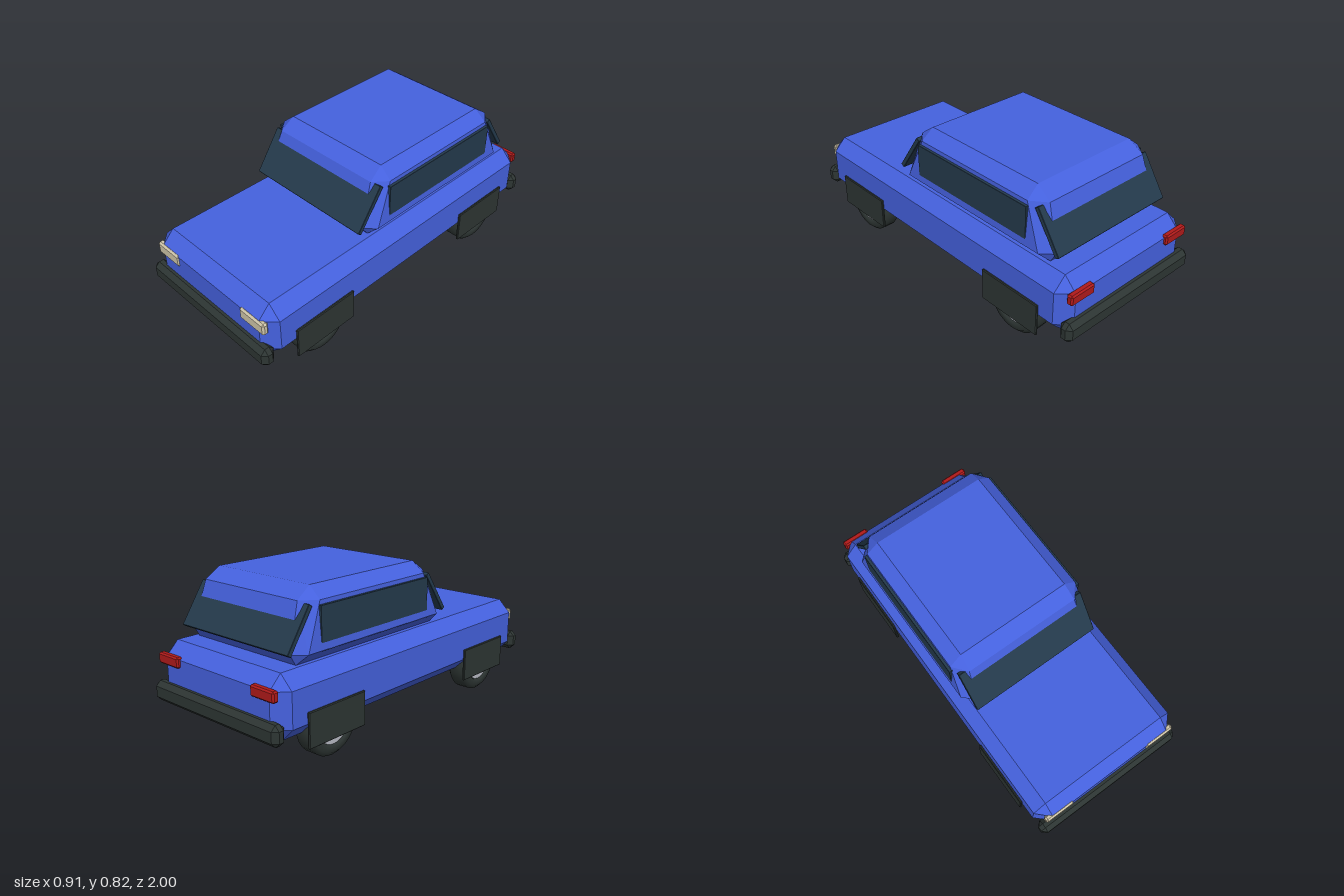
import * as THREE from 'three';
import { ConvexGeometry } from 'three/addons/geometries/ConvexGeometry.js';

const mat = (name, color) => {
  const m = new THREE.MeshStandardMaterial({ color });
  m.name = name;
  return m;
};

// Box with every edge cut by a flat chamfer c
function chamferBox(w, h, d, c) {
  const pts = [];
  for (const x of [-1, 1]) for (const y of [-1, 1]) for (const z of [-1, 1]) {
    const X = w / 2, Y = h / 2, Z = d / 2;
    pts.push(
      new THREE.Vector3(x * X, y * (Y - c), z * (Z - c)),
      new THREE.Vector3(x * (X - c), y * Y, z * (Z - c)),
      new THREE.Vector3(x * (X - c), y * (Y - c), z * Z));
  }
  return new ConvexGeometry(pts);
}

// Tapered cabin hull with chamfered edges, from [x, y, zFront, zBack] corners
function cabinHull() {
  const pts = [];
  const corners = [
    [0.32, 0.82, 0.1, -0.65], [0.327, 0.762, 0.18, -0.735], [0.39, 0.762, 0.105, -0.655],
    [0.35, 0.474, 0.22, -0.775], [0.35, 0.53, 0.263, -0.808], [0.41, 0.53, 0.205, -0.75],
  ];
  for (const [x, y, zf, zb] of corners) for (const s of [-1, 1]) {
    pts.push(new THREE.Vector3(s * x, y, zf), new THREE.Vector3(s * x, y, zb));
  }
  return new ConvexGeometry(pts);
}

// Tyre cross-section turned about the x axis
function tyreGeometry() {
  const profile = [
    [0.1, -0.045], [0.108, -0.0585], [0.14, -0.0585], [0.1625, -0.036],
    [0.1625, 0.036], [0.14, 0.0585], [0.108, 0.0585], [0.1, 0.045], [0.1, -0.045],
  ].map(([r, y]) => new THREE.Vector2(r, y));
  return new THREE.LatheGeometry(profile, 28).rotateZ(Math.PI / 2);
}

export function createModel() {
  const car = new THREE.Group();
  car.name = 'car';
  const paint = mat('blue paint', 0x4561de);
  const rubber = mat('dark trim', 0x2d3533);
  const glass = mat('tinted glass', 0x243a4c);
  const lamp = mat('cream lamp', 0xd0c6aa);
  const red = mat('red lamp', 0xb01a1a);
  const metal = mat('wheel metal', 0xb9bcc6);

  const add = (name, geometry, material, x = 0, y = 0, z = 0, parent = car) => {
    const mesh = new THREE.Mesh(geometry, material);
    mesh.name = name;
    mesh.position.set(x, y, z);
    parent.add(mesh);
    return mesh;
  };

  // Body and cabin
  add('body', chamferBox(0.89, 0.32, 1.92, 0.07), paint, 0, 0.315, 0);
  add('cabin', cabinHull(), paint);

  // Slanted front and rear glass
  add('windshield', chamferBox(0.76, 0.263, 0.025, 0.002), glass, 0, 0.64, 0.23)
    .rotation.x = -THREE.MathUtils.degToRad(35);
  add('rearWindow', chamferBox(0.76, 0.25, 0.025, 0.002), glass, 0, 0.64, -0.772)
    .rotation.x = THREE.MathUtils.degToRad(33.5);

  // Bumpers
  const bumper = chamferBox(0.9, 0.106, 0.075, 0.025);
  add('frontBumper', bumper, rubber, 0, 0.217, 0.9625);
  add('rearBumper', bumper, rubber, 0, 0.217, -0.9625);

  const sideGlass = chamferBox(0.02, 0.215, 0.785, 0.001);
  const headlight = chamferBox(0.175, 0.07, 0.035, 0.01);
  const tailLight = chamferBox(0.155, 0.056, 0.036, 0.008);
  const flap = chamferBox(0.014, 0.18, 0.38, 0.004);
  const tyre = tyreGeometry();
  const hub = new THREE.CylinderGeometry(0.101, 0.101, 0.1, 28).rotateZ(Math.PI / 2);
  const axleCap = new THREE.CylinderGeometry(0.033, 0.033, 0.126, 16).rotateZ(Math.PI / 2);

  for (const s of [1, -1]) {
    const side = s > 0 ? 'left' : 'right';
    add(side + 'SideWindow', sideGlass, glass, s * 0.397, 0.633, -0.272);
    add(side + 'Headlight', headlight, lamp, s * 0.3275, 0.375, 0.949);
    add(side + 'TailLight', tailLight, red, s * 0.3425, 0.392, -0.96);

    // Wheels and the plates that cover them
    for (const [end, z] of [['Front', 0.61], ['Rear', -0.61]]) {
      add(side + end + 'WheelCover', flap, rubber, s * 0.45, 0.193, z);
      const wheel = new THREE.Group();
      wheel.name = side + end + 'Wheel';
      wheel.position.set(s * 0.376, 0.1625, z);
      car.add(wheel);
      add('tyre', tyre, rubber, 0, 0, 0, wheel);
      add('hub', hub, metal, 0, 0, 0, wheel);
      add('axleCap', axleCap, rubber, 0, 0, 0, wheel);
    }
  }
  return car;
}
